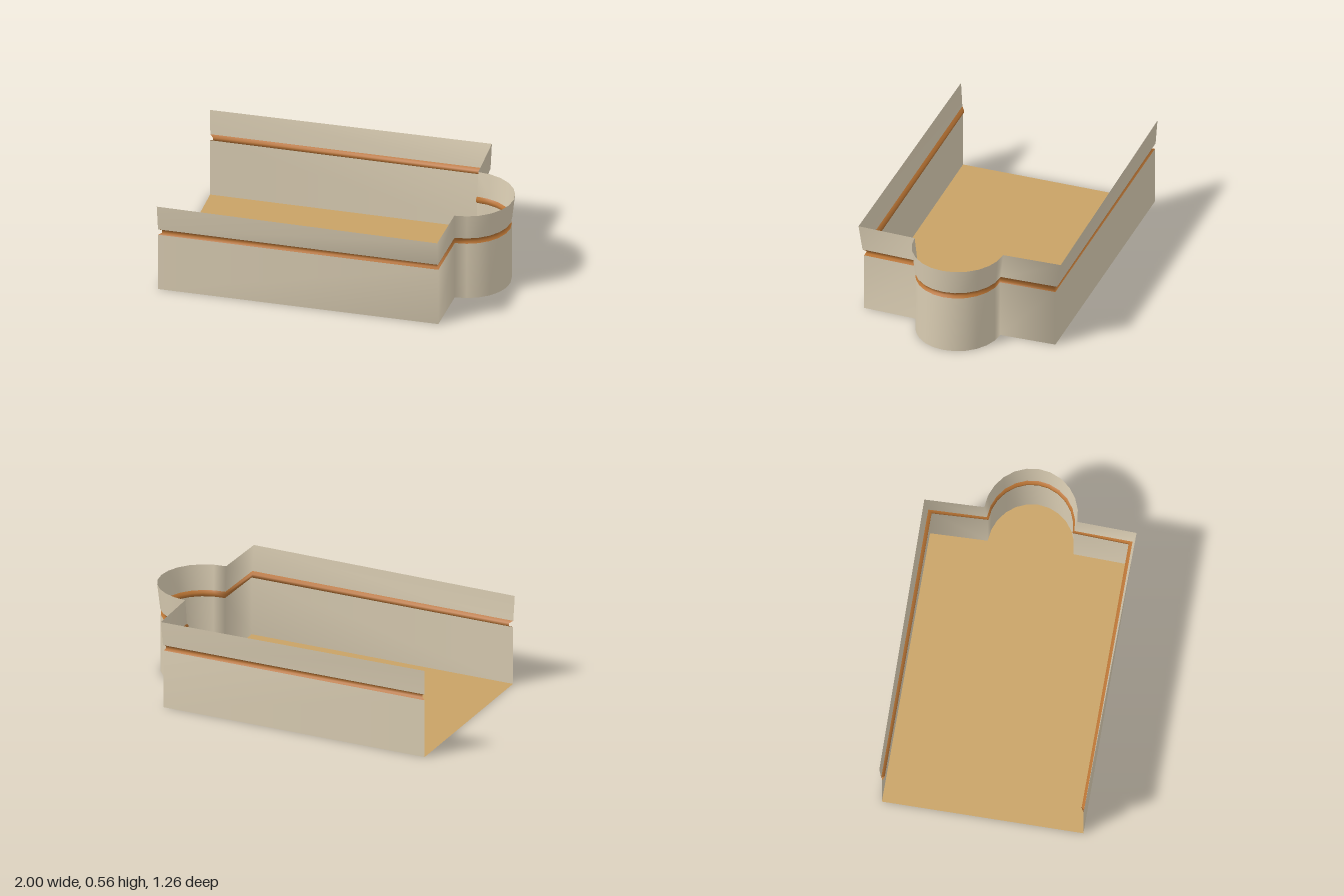
import * as THREE from 'three';

const ARC_STEPS = 12;

// Half-plan sizes of the outline at one height, from the open end to the apse tip
const level = (y, startX, startZ, cornerX, cornerZ, joinX, joinZ, tipX) =>
  ({ y, startX, startZ, cornerX, cornerZ, joinX, joinZ, tipX });

// Open outline: long side, shoulder, rounded apse, shoulder, long side
function outline(l) {
  const points = [[l.startX, l.startZ], [l.cornerX, l.cornerZ]];
  for (let i = 0; i <= ARC_STEPS; i++) {
    const a = Math.PI / 2 - (Math.PI * i) / ARC_STEPS;
    points.push([l.joinX + (l.tipX - l.joinX) * Math.cos(a), l.joinZ * Math.sin(a)]);
  }
  points.push([l.cornerX, -l.cornerZ], [l.startX, -l.startZ]);
  return points;
}

// Smooth sheet through a stack of outlines
function band(levels) {
  const positions = [], indices = [];
  const rows = levels.map(outline);
  const n = rows[0].length;
  rows.forEach((row, r) => row.forEach(([x, z]) => positions.push(x, levels[r].y, z)));
  for (let r = 0; r < rows.length - 1; r++) {
    for (let i = 0; i < n - 1; i++) {
      const a = r * n + i, b = a + 1, c = a + n, d = b + n;
      indices.push(a, b, d, a, d, c);
    }
  }
  const geometry = new THREE.BufferGeometry();
  geometry.setAttribute('position', new THREE.Float32BufferAttribute(positions, 3));
  geometry.setIndex(indices);
  geometry.computeVertexNormals();
  return geometry;
}

export function createModel() {
  const group = new THREE.Group();
  group.name = 'apseHall';

  const material = (name, color) => {
    const m = new THREE.MeshStandardMaterial({ color, side: THREE.DoubleSide });
    m.name = name;
    return m;
  };
  const plaster = material('cream plaster', 0xd9ccb2);
  const copper = material('copper trim', 0xb87333);
  const ochre = material('ochre floor', 0xc8a266);

  const add = (name, geometry, mat) => {
    const mesh = new THREE.Mesh(geometry, mat);
    mesh.name = name;
    group.add(mesh);
  };

  const base = level(0, -0.995, 0.598, 0.7, 0.596, 0.71, 0.255, 0.98);
  const wallTop = { ...base, y: 0.362 };
  const grooveLow = level(0.372, -0.975, 0.585, 0.69, 0.585, 0.705, 0.25, 0.965);
  const grooveHigh = { ...grooveLow, y: 0.388 };
  const corniceFoot = level(0.4, -0.995, 0.602, 0.7, 0.606, 0.71, 0.26, 0.982);
  const corniceTop = level(0.556, -1, 0.612, 0.702, 0.63, 0.713, 0.276, 1);

  // Floor plate
  const plan = new THREE.Shape(outline(base).map(([x, z]) => new THREE.Vector2(x, -z)));
  add('floor', new THREE.ShapeGeometry(plan).rotateX(-Math.PI / 2), ochre);

  // Upright wall, recessed trim and flared cornice
  add('wall', band([base, wallTop]), plaster);
  add('recessedTrim', band([wallTop, grooveLow, grooveHigh, corniceFoot]), copper);
  add('cornice', band([corniceFoot, corniceTop]), plaster);

  return group;
}
